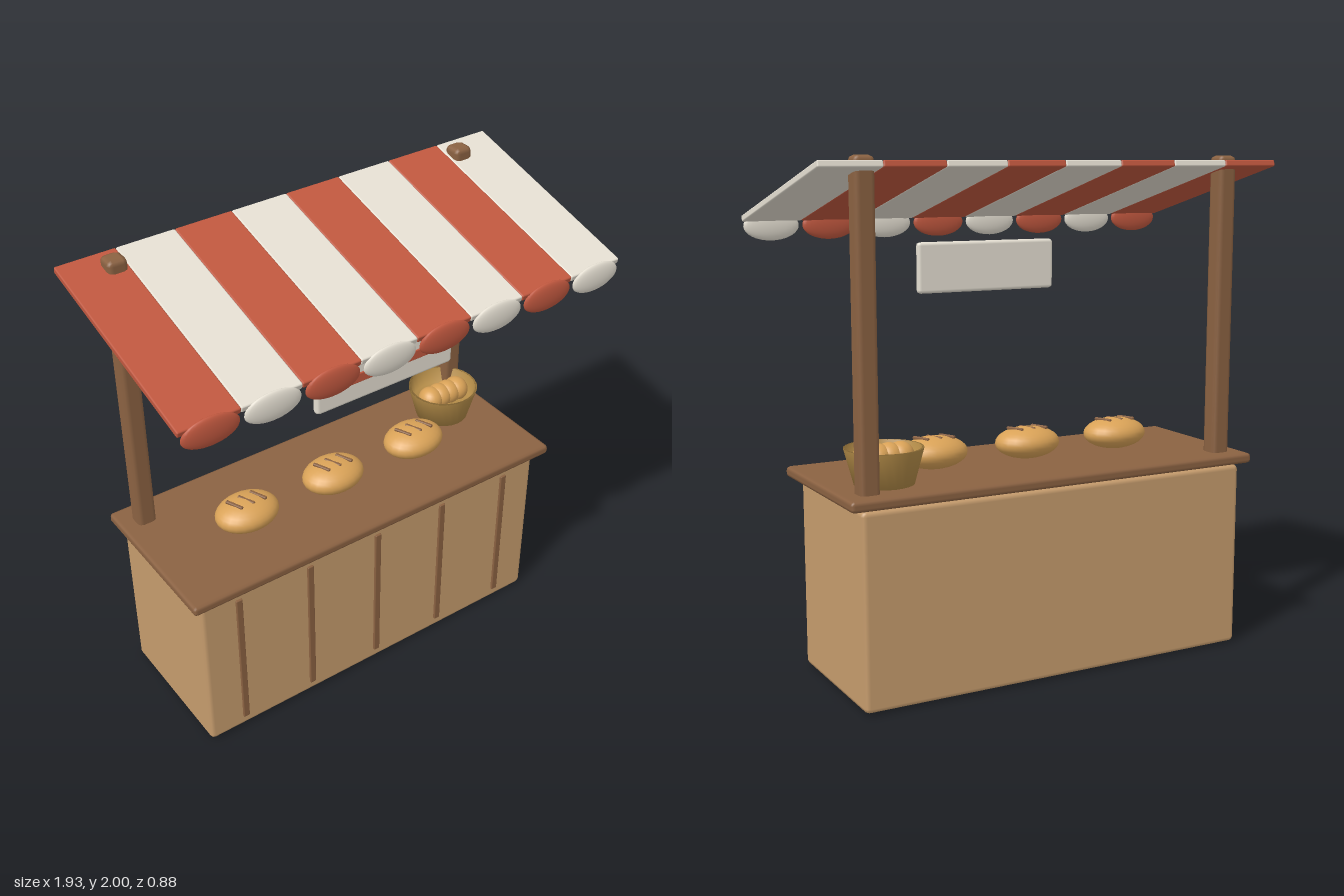
import * as THREE from 'three';
import { RoundedBoxGeometry } from 'three/addons/geometries/RoundedBoxGeometry.js';

function material(name, color, side = THREE.FrontSide) {
  const m = new THREE.MeshStandardMaterial({ color, side });
  m.name = name;
  return m;
}

export function createModel() {
  const tan = material('tan panel', 0xc69c6d);
  const wood = material('brown wood', 0x8b6242);
  const red = material('awning red', 0xc1583f);
  const cream = material('awning cream', 0xe6e0d3);
  const bread = material('bread', 0xd9a257);
  const crust = material('crust', 0xc07a3c);
  const wicker = material('wicker', 0xb48c48, THREE.DoubleSide);

  const model = new THREE.Group();
  model.name = 'marketStall';

  function add(name, geometry, mat, x, y, z, parent = model) {
    const mesh = new THREE.Mesh(geometry, mat);
    mesh.name = name;
    mesh.position.set(x, y, z);
    parent.add(mesh);
    return mesh;
  }
  const box = (w, h, d, r) => new RoundedBoxGeometry(w, h, d, 1, r);
  const ellipsoid = (rx, ry, rz) => new THREE.SphereGeometry(1, 24, 16).scale(rx, ry, rz);

  // Counter: body, worktop and front slats
  add('counterBody', box(1.655, 0.755, 0.62, 0.02), tan, 0, 0.3825, -0.105);
  add('counterTop', box(1.75, 0.042, 0.685, 0.015), wood, 0, 0.785, -0.0925);
  for (let i = -2; i <= 2; i++) {
    add('frontSlat', box(0.028, 0.655, 0.02, 0.004), wood, i * 0.331, 0.383, 0.205);
  }

  // Posts run from the ground up through the awning
  for (const s of [-1, 1]) {
    add('post', box(0.08, 2, 0.08, 0.02), wood, s * 0.772, 1, -0.328);
  }

  // Sloped striped awning with a scalloped front edge
  const stripeWidth = 0.241;
  for (let i = 0; i < 8; i++) {
    const mat = i % 2 ? cream : red;
    const x = (i - 3.5) * stripeWidth;
    const stripe = add('awningStripe', box(stripeWidth, 0.026, 0.86, 0.006), mat, x, 1.865, 0.004);
    stripe.rotation.x = 0.25;
    add('awningScallop', ellipsoid(0.113, 0.058, 0.018), mat, x, 1.73, 0.422);
  }

  // Hanging sign board with a plain bar
  add('signBoard', box(0.62, 0.205, 0.035, 0.014), cream, 0, 1.557, 0.2275);
  add('signBar', box(0.41, 0.04, 0.014, 0.004), red, 0, 1.555, 0.243);

  // Loaves with a browned top and three scored ridges
  for (const x of [-0.45, -0.035, 0.378]) {
    const loaf = new THREE.Group();
    loaf.name = 'loaf';
    loaf.position.set(x, 0.868, -0.06);
    model.add(loaf);
    add('loafBody', ellipsoid(0.136, 0.064, 0.105), bread, 0, 0, 0, loaf);
    add('loafCrust', ellipsoid(0.112, 0.04, 0.086), crust, 0, 0.021, 0, loaf);
    for (let i = -1; i <= 1; i++) {
      const ridge = add('loafRidge', box(0.014, 0.012, 0.08, 0.004), wood, i * 0.055, 0.058, 0, loaf);
      ridge.rotation.y = 0.4;
    }
  }

  // Flared open basket with a row of rolls
  const profile = [[0, 0], [0.113, 0], [0.15, 0.138], [0.14, 0.138], [0.125, 0.07], [0, 0.07]]
    .map(([r, y]) => new THREE.Vector2(r, y));
  const basketShape = new THREE.LatheGeometry(profile, 24);
  add('basket', basketShape, wicker, 0.655, 0.806, -0.212);
  for (let i = 0; i < 4; i++) {
    add('roll', ellipsoid(0.052, 0.052, 0.056), bread, 0.655 + (i - 1.5) * 0.046, 0.906, -0.207);
  }

  return model;
}
